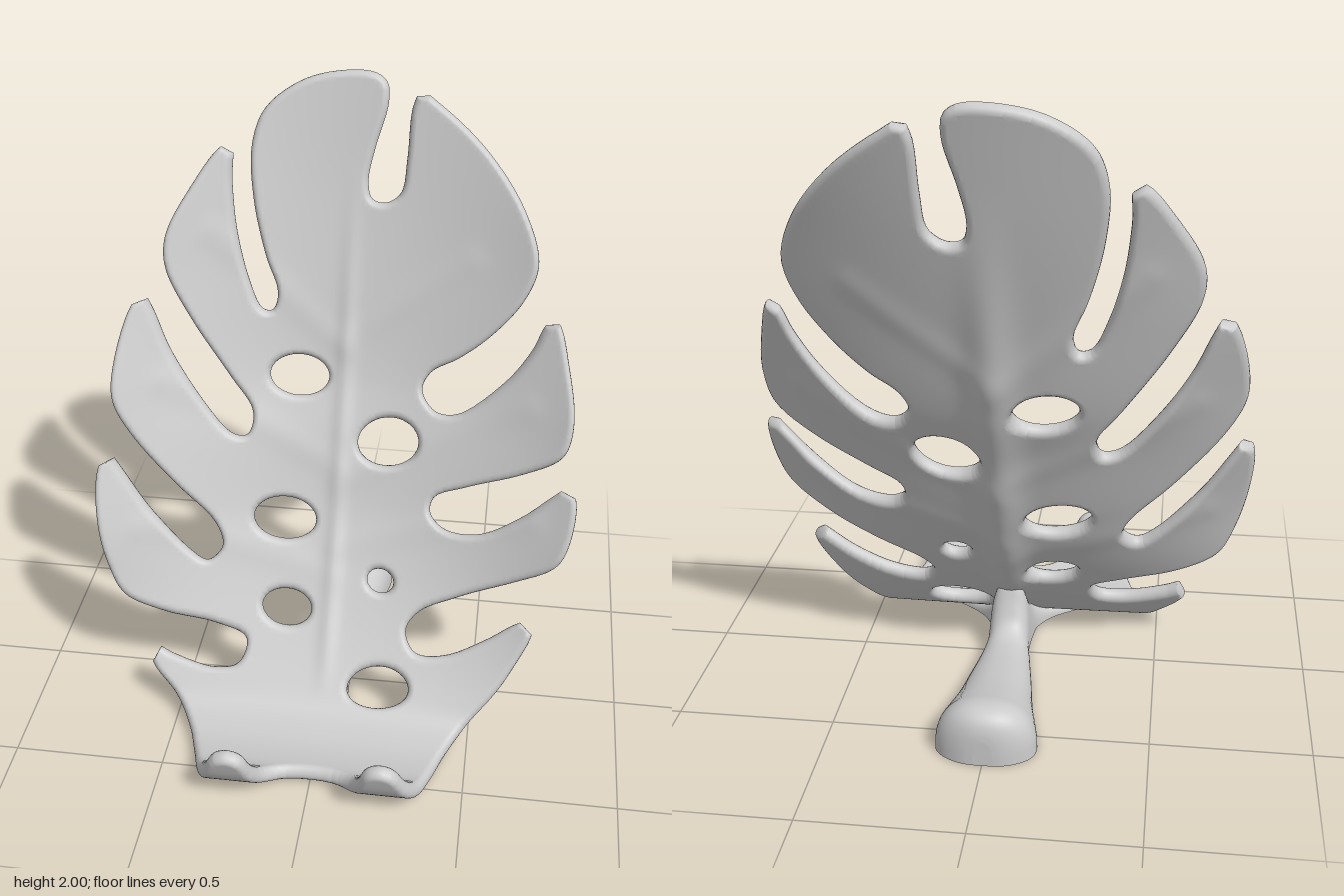
import * as THREE from 'three';

const material = new THREE.MeshStandardMaterial({ color: 0xcccccc });

// Leaf outline as (x, v); v is height up the blade and runs on below zero along the floor and front lip
const leftSide = [0, 2, -.17, 1.97, -.3, 1.88, -.34, 1.77, -.33, 1.6, -.285, 1.42, -.24, 1.3, -.255, 1.245, -.29, 1.25,
  -.335, 1.34, -.38, 1.5, -.4, 1.66, -.405, 1.77, -.44, 1.765, -.53, 1.65, -.605, 1.51, -.605, 1.405, -.52, 1.235,
  -.385, 1.035, -.305, .92, -.32, .855, -.37, .86, -.465, .96, -.58, 1.14, -.645, 1.29, -.675, 1.335, -.71, 1.295,
  -.755, 1.13, -.755, 1.015, -.69, .89, -.545, .715, -.41, .575, -.385, .505, -.43, .465, -.49, .5, -.625, .65,
  -.73, .81, -.77, .865, -.795, .8, -.79, .65, -.755, .495, -.7, .38, -.57, .315, -.385, .275, -.28, .235,
  -.3, .17, -.385, .155, -.52, .19, -.61, .225, -.595, .165, -.51, .06];
const rightSide = [.065, 1.99, .095, 1.965, .1, 1.9, .065, 1.77, .045, 1.66, .06, 1.605, .105, 1.595, .155, 1.63,
  .17, 1.74, .18, 1.9, .205, 1.945, .275, 1.91, .435, 1.79, .565, 1.635, .62, 1.49, .585, 1.37, .485, 1.235,
  .38, 1.14, .29, 1.08, .265, 1.02, .31, .965, .39, .97, .54, 1.105, .62, 1.225, .66, 1.315, .695, 1.33,
  .74, 1.21, .77, 1.05, .745, .94, .62, .845, .435, .755, .33, .7, .32, .65, .37, .61, .485, .62, .62, .71,
  .725, .815, .77, .855, .795, .83, .79, .705, .75, .605, .62, .51, .435, .415, .3, .345, .265, .29, .3, .24,
  .405, .245, .54, .31, .635, .38, .685, .405, .69, .36, .62, .22, .51, .06];
// Half of the front edge with one lip hook, mirrored for the other half
const lipSide = [.435, -.08, .4, -.18, .365, -.29, .325, -.4, .285, -.48, .235, -.495, .195, -.47, .17, -.4,
  .135, -.31, .08, -.265];

// Holes: centre x, centre v, half width, half height, tilt
const holes = [[-.155, 1.035, .1, .064, -.1], [-.178, .587, .107, .064, -.12], [-.15, .325, .085, .05, -.1],
  [.16, .848, .105, .074, .2], [.165, .42, .046, .034, -.1], [.185, .125, .105, .065, .1]];

// Side veins: x and v at the root, x and v at the end
const veins = [[0, 1.12, -.45, 1.5], [0, .75, -.6, 1.05], [0, .42, -.65, .6], [0, 1.15, .4, 1.45],
  [0, .7, .62, 1.05], [0, .5, .65, .72]];

// Blade profile: v, then y, z and forward curl of the edges
const profile = [[-.5, .235, .667, 0], [-.37, .115, .618, 0], [-.28, .055, .555, 0], [-.185, .03, .46, 0],
  [-.085, .03, .36, 0], [.02, .06, .26, .03], [.14, .14, .17, .1], [.33, .33, .015, .22], [.59, .59, -.15, .36],
  [.86, .86, -.273, .37], [1.03, 1.03, -.36, .4], [1.33, 1.33, -.465, .36], [1.65, 1.65, -.57, .36],
  [2, 2, -.668, .28]];
const spline = new THREE.CubicInterpolant(profile.map(p => p[0]), profile.flatMap(p => p.slice(1)), 3);
const at = v => Array.from(spline.evaluate(THREE.MathUtils.clamp(v, -.4999, 1.9999)));

const toPoints = a => Array.from({ length: a.length / 2 }, (_, i) => new THREE.Vector3(a[2 * i], a[2 * i + 1], 0));
const closedLoop = (pts, n) => new THREE.CatmullRomCurve3(pts, true, 'centripetal').getPoints(n);

function leafLoops() {
  const lip = toPoints(lipSide);
  const mirrored = lip.map(p => new THREE.Vector3(-p.x, p.y, 0));
  const outline = [...toPoints(leftSide), ...mirrored, ...lip.reverse(), ...toPoints(rightSide).reverse()];
  const ellipse = ([cx, cv, rx, rv, tilt]) => Array.from({ length: 41 }, (_, i) => {
    const a = i / 40 * Math.PI * 2, x = Math.cos(a) * rx, y = Math.sin(a) * rv;
    return new THREE.Vector3(cx + x * Math.cos(tilt) - y * Math.sin(tilt), cv + x * Math.sin(tilt) + y * Math.cos(tilt), 0);
  });
  return [closedLoop(outline, 600), ...holes.map(ellipse)];
}

// Distance to the segment a-b
function segmentDistance(x, y, ax, ay, bx, by) {
  const dx = bx - ax, dy = by - ay;
  const t = Math.min(1, Math.max(0, ((x - ax) * dx + (y - ay) * dy) / (dx * dx + dy * dy || 1)));
  return Math.hypot(x - ax - t * dx, y - ay - t * dy);
}

// Signed distance to the leaf edge, positive inside
function edgeDistance(loops, x, y) {
  let d = 9, inside = false;
  for (const loop of loops) for (let i = 1; i < loop.length; i++) {
    const a = loop[i - 1], b = loop[i];
    d = Math.min(d, segmentDistance(x, y, a.x, a.y, b.x, b.y));
    if ((a.y > y) !== (b.y > y) && x < a.x + (b.x - a.x) * (y - a.y) / (b.y - a.y)) inside = !inside;
  }
  return inside ? d : -d;
}

// Point in the blade's thickness: level 1 is the front skin, -1 the back skin
function skinPoint(x, v, level) {
  const [y, z, curl] = at(v), e = .004, [y1, z1] = at(v + e), [y0, z0] = at(v - e);
  const len = Math.hypot(y1 - y0, z1 - z0) || 1;
  const ribFade = THREE.MathUtils.smoothstep(v, .05, .3) * (1 - THREE.MathUtils.smoothstep(v, 1.1, 1.8));
  let h = .026;
  if (level > 0) h += .01 * ribFade * Math.exp(-((x / .025) ** 2));
  else h += .032 * ribFade * Math.exp(-((x / .065) ** 2));
  for (const s of veins) h += .004 * Math.exp(-((segmentDistance(x, v, ...s) / .045) ** 2));
  h *= level;
  return [x, Math.max(0, y - h * (z1 - z0) / len), z + curl * x * x + h * (y1 - y0) / len];
}

// Leaf blade: a fine grid trimmed just inside the outline, its two skins joined by a rounded rim
function leafGeometry() {
  const loops = leafLoops(), step = .0145, x0 = -.82, v0 = -.52, nx = 114, nv = 177, rim = .02, arcs = 8;
  const dist = [], pos = [], index = [], cache = new Map();
  const edge = (x, v) => edgeDistance(loops, x, v);
  for (let j = 0; j <= nv; j++) for (let i = 0; i <= nx; i++) dist.push(edge(x0 + i * step, v0 + j * step) - rim);
  const xOf = k => x0 + (k % (nx + 1)) * step, vOf = k => v0 + Math.floor(k / (nx + 1)) * step;
  const add = p => pos.push(...p) / 3 - 1;
  const corner = k => {
    if (!cache.has(k)) cache.set(k, [1, -1].map(s => add(skinPoint(xOf(k), vOf(k), s))));
    return cache.get(k);
  };
  // Half circle of rim points from the front skin round the edge to the back skin
  const rimArc = (p, q) => {
    const a = Math.min(p, q), b = Math.max(p, q), key = a + '-' + b;
    if (!cache.has(key)) {
      const t = dist[a] / (dist[a] - dist[b]), e = .002;
      const x = xOf(a) + (xOf(b) - xOf(a)) * t, v = vOf(a) + (vOf(b) - vOf(a)) * t;
      const gx = edge(x + e, v) - edge(x - e, v), gv = edge(x, v + e) - edge(x, v - e);
      const reach = edge(x, v) / (Math.hypot(gx, gv) || 1);
      cache.set(key, Array.from({ length: arcs + 1 }, (_, i) => {
        const angle = i / arcs * Math.PI, out = reach * Math.sin(angle);
        return add(skinPoint(x - gx * out, v - gv * out, Math.cos(angle)));
      }));
    }
    return cache.get(key);
  };
  for (let j = 0; j < nv; j++) for (let i = 0; i < nx; i++) {
    const k = j * (nx + 1) + i, c = [k, k + 1, k + nx + 2, k + nx + 1], poly = [], cuts = [];
    c.forEach((a, n) => {
      const b = c[(n + 1) % 4];
      if (dist[a] > 0) poly.push(corner(a));
      if ((dist[a] > 0) !== (dist[b] > 0)) {
        const arc = rimArc(a, b);
        poly.push(arc);
        cuts.push({ arc, leaving: dist[a] > 0 });
      }
    });
    for (let n = 2; n < poly.length; n++) {
      const [p, q, r] = [poly[0], poly[n - 1], poly[n]];
      index.push(p[0], q[0], r[0], p.at(-1), r.at(-1), q.at(-1));
    }
    cuts.forEach(({ arc, leaving }, n) => {
      if (!leaving) return;
      const next = cuts[(n + 1) % cuts.length].arc;
      for (let m = 0; m < arcs; m++) index.push(arc[m], arc[m + 1], next[m + 1], arc[m], next[m + 1], next[m]);
    });
  }
  return buildGeometry(pos, index);
}

function buildGeometry(pos, index) {
  const g = new THREE.BufferGeometry();
  g.setAttribute('position', new THREE.Float32BufferAttribute(pos, 3));
  g.setIndex(index);
  g.computeVertexNormals();
  return g;
}

// Rear foot: flat-bottomed domed sections (z, half width, height), flaring to a rounded paddle end
function footGeometry() {
  const stations = [[.42, .33, .03], [.33, .23, .035], [.25, .13, .06], [.18, .085, .11], [.12, .075, .17], [.05, .07, .25],
    [.015, .07, .175], [-.015, .072, .115], [-.06, .08, .085], [-.14, .092, .082], [-.25, .108, .095], [-.38, .125, .118],
    [-.5, .148, .148], [-.57, .158, .167], [-.61, .15, .168], [-.64, .125, .158], [-.66, .092, .138], [-.671, .06, .11],
    [-.675, .03, .08]];
  const sections = new THREE.CatmullRomCurve3(stations.map(s => new THREE.Vector3(s[1], s[2], s[0])), false, 'centripetal');
  const rings = 80, n = 24, pos = [], index = [];
  sections.getPoints(rings).forEach(s => {
    for (let i = 0; i <= n; i++) {
      const a = i / n * Math.PI, c = Math.cos(a);
      pos.push(s.x * Math.sign(c) * Math.abs(c) ** .85, s.y * Math.abs(Math.sin(a)) ** .8, s.z);
    }
  });
  const w = n + 1;
  for (let r = 0; r < rings; r++) for (let i = 0; i < n; i++) {
    const a = r * w + i, b = a + w;
    index.push(a, b, a + 1, a + 1, b, b + 1);
  }
  for (let i = 1; i < n; i++) index.push(rings * w, rings * w + i + 1, rings * w + i);
  // Separate vertices keep the flat underside crisp
  const base = pos.length / 3;
  for (let r = 0; r <= rings; r++) for (const i of [0, n]) pos.push(...pos.slice((r * w + i) * 3, (r * w + i) * 3 + 3));
  for (let r = 0; r < rings; r++) {
    const a = base + 2 * r;
    index.push(a, a + 1, a + 2, a + 1, a + 3, a + 2);
  }
  return buildGeometry(pos, index);
}

export function createModel() {
  const group = new THREE.Group();
  group.name = 'leafStand';
  const addPart = (name, geometry) => {
    const mesh = new THREE.Mesh(geometry, material);
    mesh.name = name;
    group.add(mesh);
  };
  addPart('leafBladeWithLip', leafGeometry());
  addPart('rearFoot', footGeometry());
  return group;
}
